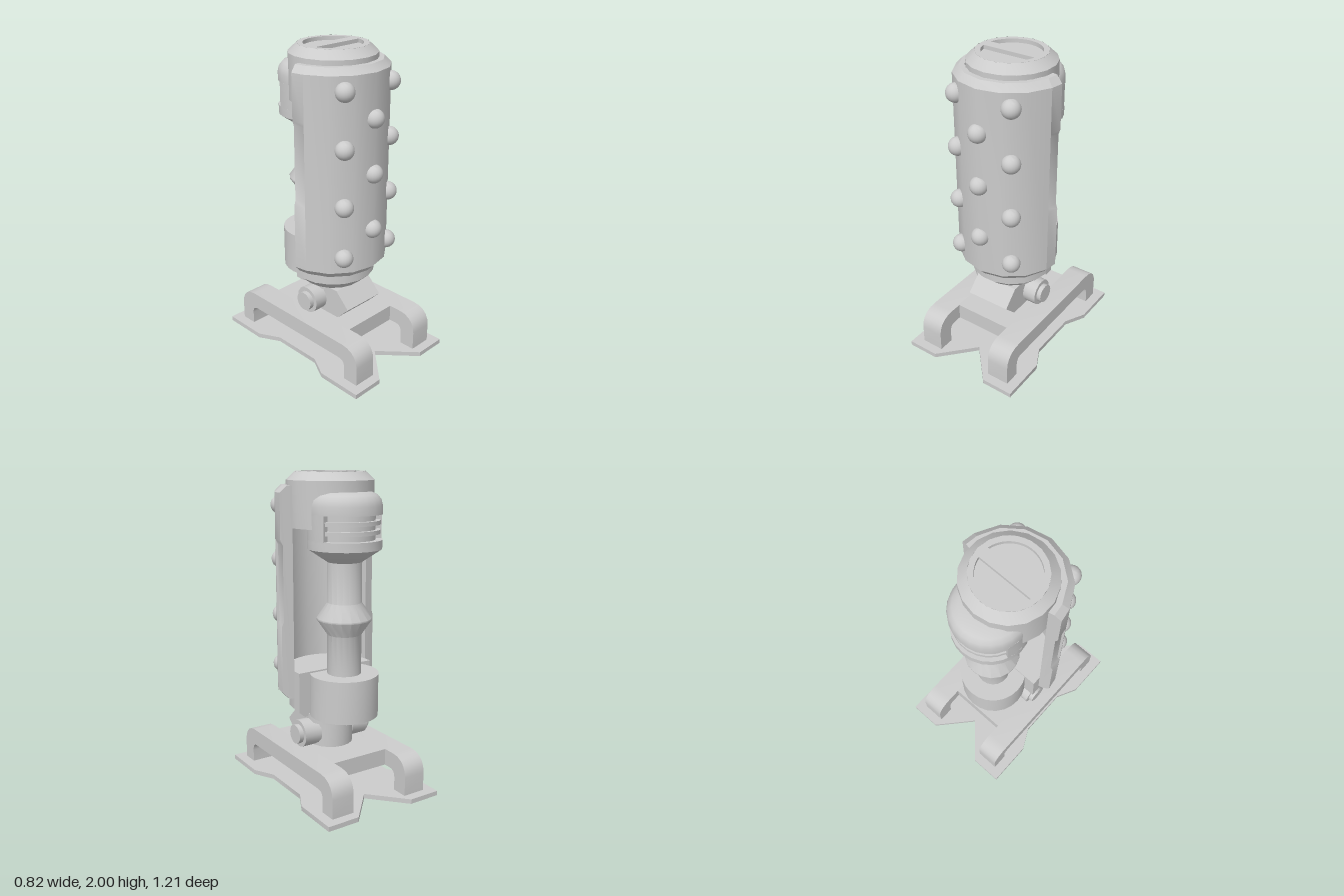
import * as THREE from 'three';
import { mergeGeometries, toCreasedNormals } from 'three/addons/utils/BufferGeometryUtils.js';

const V = (x, y) => new THREE.Vector2(x, y);
const toPoints = (list) => list.map(([x, y]) => V(x, y));
const rad = THREE.MathUtils.degToRad;
const material = new THREE.MeshStandardMaterial({ color: 0xcccccc, side: THREE.DoubleSide });

function add(parent, name, geometry, x = 0, y = 0, z = 0) {
  const mesh = new THREE.Mesh(toCreasedNormals(geometry, 0.6), material);
  mesh.name = name;
  mesh.position.set(x, y, z);
  parent.add(mesh);
  return mesh;
}

const lathe = (profile, segments = 18) => new THREE.LatheGeometry(toPoints(profile), segments);

// Solid wedge of revolution with closed ends; angle 0 is the front
function sector(profile, from, to, segments) {
  const points = toPoints(profile);
  const side = new THREE.LatheGeometry([...points, points[0]], segments, rad(from), rad(to - from));
  const ends = [from, to].map((a) => new THREE.ShapeGeometry(new THREE.Shape(points)).rotateY(rad(a - 90)));
  return mergeGeometries([side, ...ends]);
}

// Extrudes a (z, y) outline sideways, centred on x = 0
function extrudeX(shape, width) {
  return new THREE.ExtrudeGeometry(shape, { depth: width, bevelEnabled: false, curveSegments: 5 })
    .translate(0, 0, -width / 2).rotateY(-Math.PI / 2);
}

// Shell angles widen slightly inwards, which slants the long end faces
function slant(geometry) {
  const p = geometry.attributes.position;
  for (let i = 0; i < p.count; i++) {
    const r = Math.hypot(p.getX(i), p.getZ(i));
    const a = Math.atan2(p.getX(i), p.getZ(i)) * (1 + (0.346 - r) * 0.55);
    p.setXYZ(i, r * Math.sin(a), p.getY(i), r * Math.cos(a));
  }
  return geometry;
}

function createStand() {
  const stand = new THREE.Group();
  stand.name = 'stand';

  // X-shaped ground plate
  const corner = [[0.34, 0.17], [0.41, 0.305], [0.41, 0.605], [0.2, 0.605], [0, 0.385]];
  const outline = [
    ...corner,
    ...corner.slice(0, 4).reverse().map(([x, z]) => [-x, z]),
    ...corner.map(([x, z]) => [-x, -z]),
    ...corner.slice(0, 4).reverse().map(([x, z]) => [x, -z]),
  ];
  add(stand, 'basePlate', new THREE.ExtrudeGeometry(new THREE.Shape(toPoints(outline)),
    { depth: 0.03, bevelEnabled: false }).rotateX(Math.PI / 2), 0, 0.03, 0);

  // Two arched side legs and the deck between them
  const arch = new THREE.Shape();
  arch.moveTo(0.545, 0.02);
  arch.lineTo(0.545, 0.15);
  arch.bezierCurveTo(0.545, 0.22, 0.5, 0.27, 0.42, 0.27);
  arch.lineTo(-0.42, 0.27);
  arch.bezierCurveTo(-0.5, 0.27, -0.545, 0.22, -0.545, 0.15);
  arch.lineTo(-0.545, 0.02);
  arch.lineTo(-0.44, 0.02);
  arch.lineTo(-0.44, 0.11);
  arch.quadraticCurveTo(-0.44, 0.163, -0.39, 0.163);
  arch.lineTo(0.39, 0.163);
  arch.quadraticCurveTo(0.44, 0.163, 0.44, 0.11);
  arch.lineTo(0.44, 0.02);
  for (const s of [-1, 1]) add(stand, 'archedLeg', extrudeX(arch, 0.15), s * 0.27, 0, 0);
  add(stand, 'deck', new THREE.BoxGeometry(0.4, 0.107, 0.68), 0, 0.2165, 0);

  // Tilting joint
  const wedge = new THREE.Shape(toPoints([[0, 0.27], [0.19, 0.27], [0.28, 0.36], [0.18, 0.46], [0, 0.46]]));
  add(stand, 'jointWedge', extrudeX(wedge, 0.3));
  add(stand, 'jointColumn', new THREE.CylinderGeometry(0.145, 0.145, 0.24, 18), 0, 0.38, 0);
  add(stand, 'jointFlange', new THREE.CylinderGeometry(0.17, 0.17, 0.05, 18), 0, 0.455, 0);
  for (const s of [-1, 1]) {
    add(stand, 'pivotDrum', new THREE.CylinderGeometry(0.088, 0.088, 0.12, 16).rotateZ(Math.PI / 2), s * 0.18, 0.36, 0);
    add(stand, 'pivotPin', new THREE.CylinderGeometry(0.062, 0.062, 0.06, 16).rotateZ(Math.PI / 2), s * 0.24, 0.36, 0);
  }
  return stand;
}

function createBody() {
  const body = new THREE.Group();
  body.name = 'body';

  // Lower core: front half of a drum with a flat block behind
  add(body, 'lowerCore', sector([[0, 0.465], [0.2, 0.465], [0.27, 0.53], [0.27, 0.78], [0, 0.78]], -90, 90, 9));
  add(body, 'lowerBlock', new THREE.BoxGeometry(0.54, 0.26, 0.06), 0, 0.65, -0.03);

  // Upper core with a chamfered, double-recessed lid
  add(body, 'upperCore', lathe([[0, 1.67], [0.27, 1.67], [0.27, 1.95], [0.215, 2]]));
  const lid = new THREE.Shape().absarc(0, 0, 0.215, 0, Math.PI * 2);
  const start = Math.asin(0.035 / 0.18);
  for (const turn of [0, Math.PI]) {
    lid.holes.push(new THREE.Path().absarc(0, 0, 0.18, turn + start, turn + Math.PI - start));
  }
  add(body, 'lid', new THREE.ExtrudeGeometry(lid, { depth: 0.025, bevelEnabled: false, curveSegments: 9 })
    .rotateX(-Math.PI / 2), 0, 1.975, 0);
  add(body, 'lidFloor', new THREE.CircleGeometry(0.2, 18).rotateX(-Math.PI / 2), 0, 1.976, 0);

  // Armour shell: plain front, side strips with a shallow pocket
  const bottom = [[0.272, 0.605], [0.305, 0.605], [0.346, 0.65]];
  const top = [[0.346, 1.88], [0.305, 1.92], [0.272, 1.92]];
  const pocket = [[0.346, 1.07], [0.332, 1.1], [0.332, 1.57], [0.346, 1.6]];
  add(body, 'shellFront', slant(sector([...bottom, ...top], -74, 74, 6)));
  for (const [a, b] of [[-87.5, -74], [74, 87.5]]) {
    add(body, 'shellSide', slant(sector([...bottom, ...pocket, ...top], a, b, 1)));
  }

  // Staggered studs
  const stud = new THREE.SphereGeometry(0.058, 20, 14);
  for (const y of [1.61, 1.27, 0.91]) add(body, 'stud', stud, 0, y, 0.338);
  for (const y of [1.79, 1.45, 1.09, 0.755]) {
    for (const s of [-1, 1]) add(body, 'stud', stud, s * 0.193, y, 0.285);
  }
  return body;
}

function createRearCanister() {
  const rear = new THREE.Group();
  rear.name = 'rearCanister';
  rear.position.z = -0.157;

  add(rear, 'lowerCup', new THREE.CylinderGeometry(0.217, 0.217, 0.27, 24), 0, 0.635, 0);
  add(rear, 'rod', lathe([
    [0.107, 0.75], [0.107, 1.02], [0.172, 1.115], [0.172, 1.125], [0.107, 1.22], [0.107, 1.5],
  ]));

  // Vented cap: cone base, front wall, recessed core, slats and dome
  add(rear, 'capBase', lathe([[0, 1.47], [0.107, 1.47], [0.227, 1.55], [0.227, 1.605], [0, 1.605]], 24));
  add(rear, 'capWall', sector([[0, 1.6], [0.227, 1.6], [0.227, 1.76], [0, 1.76]], -113, 113, 15));
  add(rear, 'ventCore', new THREE.CylinderGeometry(0.185, 0.185, 0.18, 24), 0, 1.68, 0);
  for (const y of [1.64, 1.695]) {
    add(rear, 'ventSlat', sector([[0.15, y], [0.214, y], [0.214, y + 0.025], [0.15, y + 0.025]], 113, 247, 9));
  }
  add(rear, 'capDome', lathe([
    [0, 1.755], [0.227, 1.755], [0.227, 1.805], [0.218, 1.84], [0.195, 1.868], [0.16, 1.884], [0, 1.886],
  ], 24));
  return rear;
}

export function createModel() {
  const model = new THREE.Group();
  model.name = 'device';
  model.add(createStand(), createBody(), createRearCanister());
  return model;
}
